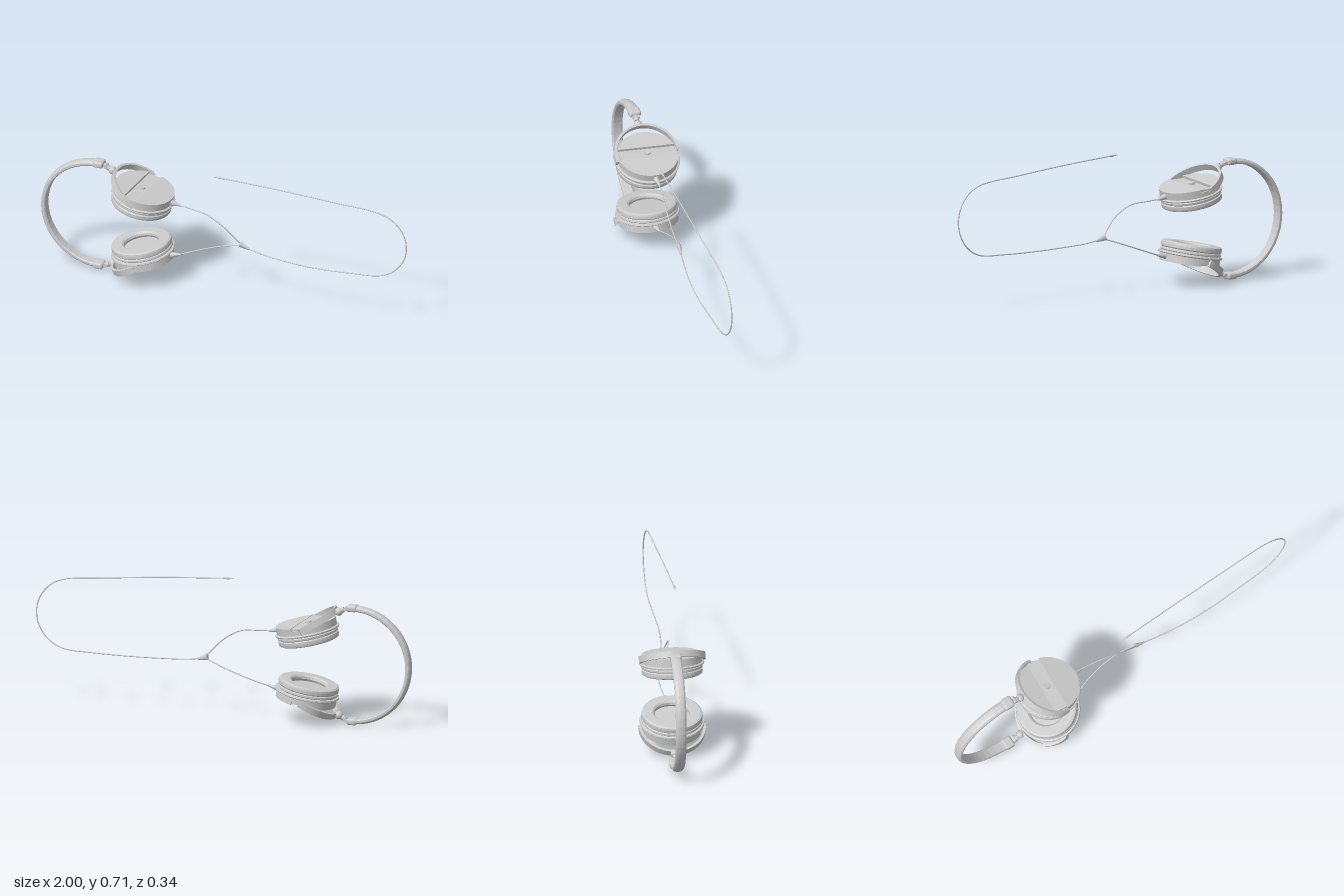
import * as THREE from 'three';
import { RoundedBoxGeometry } from 'three/addons/geometries/RoundedBoxGeometry.js';

const MID = 0.3125; // height of the mirror plane between the two ear cups
const flat = new THREE.MeshStandardMaterial({ color: 0xcccccc, flatShading: true });
const smooth = new THREE.MeshStandardMaterial({ color: 0xcccccc });
const V = (x, y, z) => new THREE.Vector3(x, y, z);

function add(parent, name, geometry, material = flat) {
  const mesh = new THREE.Mesh(geometry, material);
  mesh.name = name;
  parent.add(mesh);
  return mesh;
}

// Tapered rod from a (radius ra) to b (radius rb)
function rod(parent, name, a, b, ra, rb = ra, sides = 12) {
  const dir = b.clone().sub(a);
  const mesh = add(parent, name, new THREE.CylinderGeometry(rb, ra, dir.length(), sides), smooth);
  mesh.position.copy(a).addScaledVector(dir, 0.5);
  mesh.quaternion.setFromUnitVectors(V(0, 1, 0), dir.normalize());
  return mesh;
}

function cable(parent, name, points, steps) {
  const curve = new THREE.CatmullRomCurve3(points.map(p => V(...p)));
  add(parent, name, new THREE.TubeGeometry(curve, steps, 0.0033, 8), smooth);
}

function lathe(points, segments, start, length) {
  return new THREE.LatheGeometry(points.map(p => new THREE.Vector2(...p)), segments, start, length);
}

// Extrude a plan shape upwards
function slab(shape, height, curveSegments) {
  const g = new THREE.ExtrudeGeometry(shape, { depth: height, bevelEnabled: false, curveSegments });
  return g.rotateX(-Math.PI / 2);
}

// Ear cup: cushion, rim and an outer shell cut by a slanted channel
function earCup(s) {
  const cup = new THREE.Group();
  cup.name = 'earCup';
  add(cup, 'earCushion', lathe([
    [0, -0.022], [0.094, -0.022], [0.088, -0.034], [0.091, -0.045], [0.1, -0.052],
    [0.145, -0.052], [0.154, -0.047], [0.156, -0.038], [0.156, -0.024], [0.15, -0.018], [0, -0.018],
  ], 36));
  add(cup, 'cupBody', lathe([
    [0.149, -0.02], [0.156, -0.015], [0.157, -0.006], [0.153, -0.002], [0.164, 0.001],
    [0.166, 0.008], [0.163, 0.011], [0.155, 0.013], [0.155, 0.036], [0, 0.036],
  ], 36));

  const shell = new THREE.Group();
  shell.name = 'outerShell';
  shell.rotation.y = -0.14 * s;
  cup.add(shell);
  const r = 0.155, left = -0.05, right = 0.022;
  [[0, right], [Math.PI, -left]].forEach(([middle, chord]) => {
    const half = Math.acos(chord / r);
    const shape = new THREE.Shape();
    shape.absarc(0, 0, r, middle - half, middle + half, false);
    shape.closePath();
    add(shell, 'shellPlate', slab(shape, 0.04, 18)).position.y = 0.012;
  });
  // Sloping floor of the channel
  const ramp = new THREE.Shape([[left, 0.034], [right, 0.034], [right, 0.05], [left, 0.038]]
    .map(p => new THREE.Vector2(...p)));
  add(shell, 'channelFloor', new THREE.ExtrudeGeometry(ramp, { depth: 0.292, bevelEnabled: false }))
    .position.z = -0.146;
  const button = add(shell, 'channelButton', new THREE.CylinderGeometry(0.016, 0.018, 0.016, 20));
  button.position.set(-0.014, 0.047, 0);

  cup.position.set(-0.445, 0.468, 0);
  cup.rotation.z = -0.193;
  return cup;
}

// One side, built as the upper one; s = -1 is turned over with z reversed
function earSide(s) {
  const side = new THREE.Group();
  side.name = s > 0 ? 'upperSide' : 'lowerSide';
  side.add(earCup(s));

  // Half-ring yoke
  const yoke = new THREE.Group();
  yoke.name = 'yoke';
  const ring = new THREE.Shape();
  ring.moveTo(0.012, 0.171);
  ring.absarc(0, 0, 0.171, Math.PI / 2, Math.PI * 1.5, false);
  ring.lineTo(0.012, -0.171);
  ring.lineTo(0.012, -0.158);
  ring.absarc(0, 0, 0.158, Math.PI * 1.5, Math.PI / 2, true);
  ring.lineTo(0.012, 0.158);
  ring.closePath();
  add(yoke, 'yokeRing', slab(ring, 0.034, 16)).position.y = -0.017;
  yoke.position.set(-0.45, 0.503, 0);
  yoke.rotation.z = -Math.PI / 6;
  side.add(yoke);
  for (const e of [1, -1]) {
    rod(side, 'yokePivot', V(-0.45, 0.498, e * 0.145), V(-0.45, 0.498, e * 0.165), 0.01);
  }

  // Hinge between yoke and headband
  const z = -0.012 * s;
  const ball = add(side, 'hingeBall', new THREE.SphereGeometry(0.021, 16, 12), smooth);
  ball.position.set(-0.612, 0.583, z);
  rod(side, 'hingePin', V(-0.605, 0.583, z), V(-0.67, 0.61, -0.018 * s), 0.008);
  rod(side, 'hingeCollar', V(-0.628, 0.592, z), V(-0.64, 0.597, z), 0.014);
  const knuckle = add(side, 'hingeKnuckle', new THREE.CylinderGeometry(0.01, 0.01, 0.036, 12), smooth);
  knuckle.rotation.x = Math.PI / 2;
  knuckle.position.set(-0.648, 0.601, -0.016 * s);

  // Headband end cap
  const cap = add(side, 'headbandCap', new RoundedBoxGeometry(0.056, 0.034, 0.062, 2, 0.012));
  cap.position.set(-0.686, 0.608, -0.019 * s);
  cap.rotation.y = -0.06 * s;

  // Cable strain relief
  rod(side, 'cableBoot', V(-0.296, 0.467, 0.011 * s), V(-0.235, 0.455, 0.011 * s), 0.017, 0.004, 16);

  if (s < 0) {
    side.rotation.x = Math.PI;
    side.position.y = 2 * MID;
  }
  return side;
}

export function createModel() {
  const model = new THREE.Group();
  model.name = 'headphones';
  model.add(earSide(1), earSide(-1));

  // Headband: rounded section swept through a half circle
  const band = add(model, 'headband', lathe([
    [0.283, -0.022], [0.288, -0.027], [0.299, -0.027], [0.307, -0.019], [0.31, -0.007],
    [0.31, 0.007], [0.307, 0.019], [0.299, 0.027], [0.288, 0.027], [0.283, 0.022], [0.283, -0.022],
  ], 24, Math.PI, Math.PI).rotateX(Math.PI / 2));
  band.position.set(-0.69, MID, -0.02);
  band.rotation.y = -0.06;

  // Cables
  cable(model, 'upperCable', [
    [-0.25, 0.458, 0.011], [-0.18, 0.453, 0.02], [-0.09, 0.443, 0.038],
    [0, 0.395, 0.046], [0.06, 0.337, 0.04], [0.1, 0.293, 0.03],
  ], 40);
  cable(model, 'lowerCable', [
    [-0.25, 0.167, 0.011], [-0.18, 0.19, -0.003], [-0.09, 0.223, -0.01],
    [0, 0.256, -0.003], [0.06, 0.278, 0.014], [0.1, 0.292, 0.029],
  ], 40);
  cable(model, 'mainCable', [
    [0.11, 0.288, 0.031], [0.2, 0.274, 0.047], [0.33, 0.266, 0.067], [0.5, 0.263, 0.081],
    [0.7, 0.27, 0.083], [0.855, 0.284, 0.083], [0.93, 0.325, 0.083], [0.98, 0.395, 0.083],
    [0.995, 0.465, 0.083], [0.98, 0.54, 0.083], [0.93, 0.607, 0.083], [0.855, 0.645, 0.083],
    [0.6, 0.667, 0.083], [0.3, 0.687, 0.083], [0, 0.7, 0.083],
  ], 110);

  // Cable splitter and plug
  const splitter = rod(model, 'cableSplitter', V(0.085, 0.298, 0.028), V(0.138, 0.282, 0.036), 0.018, 0.006);
  splitter.scale.z = 0.65;
  rod(model, 'plugSleeve', V(0.015, 0.7, 0.083), V(-0.012, 0.7, 0.083), 0.0045, 0.006);
  rod(model, 'plugPin', V(-0.012, 0.7, 0.083), V(-0.036, 0.7, 0.083), 0.0035, 0.0025);
  return model;
}
